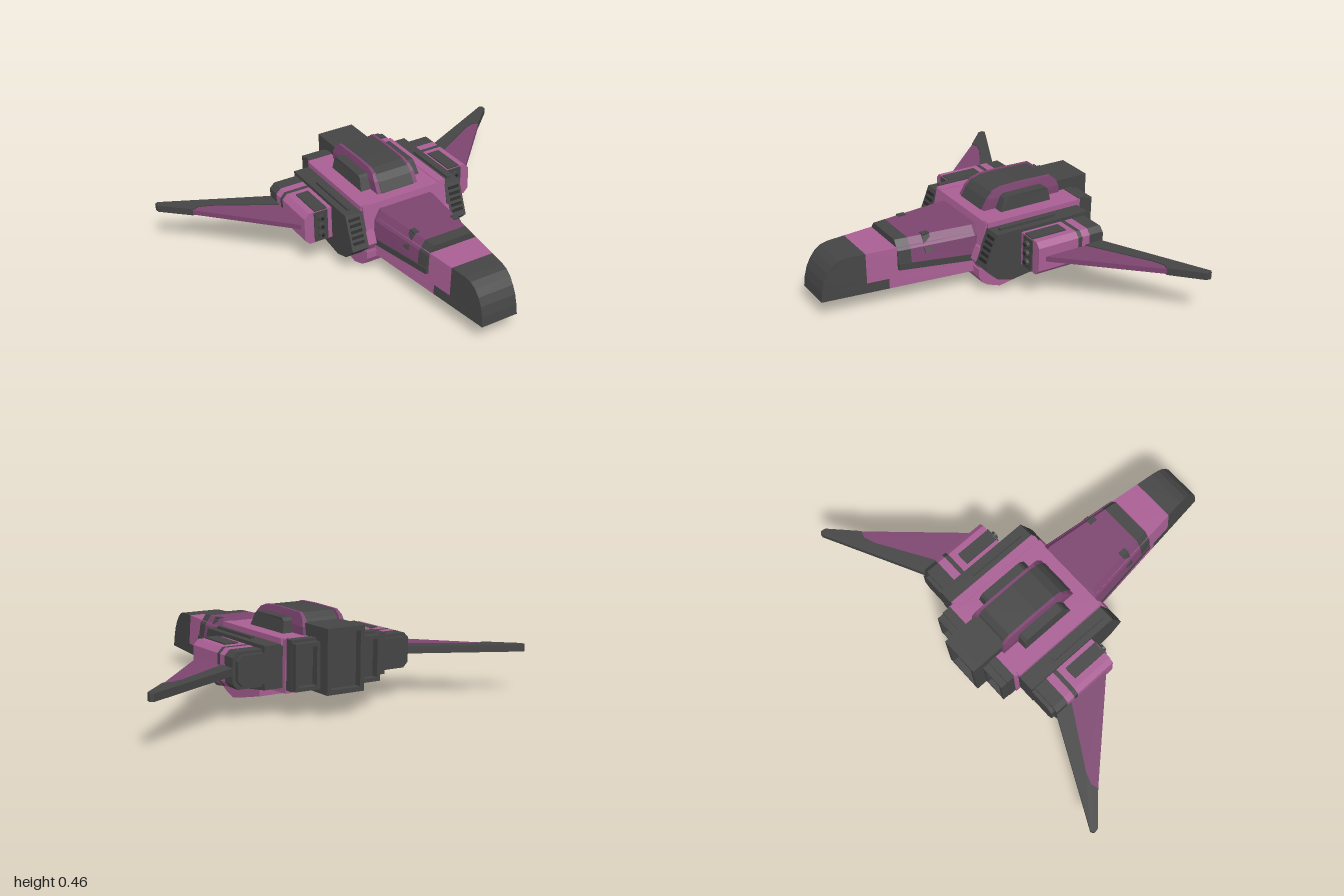
import * as THREE from 'three';

const mat = (name, color) => {
  const m = new THREE.MeshStandardMaterial({ color, flatShading: true });
  m.name = name;
  return m;
};

export function createModel() {
  const pink = mat('pink paint', 0xa85e93);
  const plum = mat('plum paint', 0x7c446f);
  const dark = mat('dark grey', 0x444444);
  const black = mat('vent black', 0x262626);
  const model = new THREE.Group();
  model.name = 'starfighter';

  const add = (name, geo, material) => {
    const m = new THREE.Mesh(geo, material);
    m.name = name;
    model.add(m);
  };

  // Mirror a geometry across x = 0, keeping faces outward
  const mirror = (geo) => {
    const g = geo.index ? geo.toNonIndexed() : geo.clone();
    g.scale(-1, 1, 1);
    const p = g.attributes.position;
    const a = new THREE.Vector3(), b = new THREE.Vector3();
    for (let i = 0; i < p.count; i += 3) {
      a.fromBufferAttribute(p, i + 1);
      b.fromBufferAttribute(p, i + 2);
      p.setXYZ(i + 1, b.x, b.y, b.z);
      p.setXYZ(i + 2, a.x, a.y, a.z);
    }
    g.computeVertexNormals();
    return g;
  };
  const pair = (name, geo, material) => {
    add(name + 'Left', geo, material);
    add(name + 'Right', mirror(geo), material);
  };

  // Box from its limits
  const box = (x0, x1, y0, y1, z0, z1) =>
    new THREE.BoxGeometry(x1 - x0, y1 - y0, z1 - z0)
      .translate((x0 + x1) / 2, (y0 + y1) / 2, (z0 + z1) / 2);
  const shape = (pts) => new THREE.Shape(pts.map(([a, b]) => new THREE.Vector2(a, b)));
  const extrude = (s, depth) => new THREE.ExtrudeGeometry(s, { depth, bevelEnabled: false });
  // Side profile of (z, y) points, running from x0 to x1
  const slab = (pts, x0, x1) =>
    extrude(shape(pts), x1 - x0).rotateY(-Math.PI / 2).translate(x1, 0, 0);
  // Front profile of (x, y) points, running from z0 to z1
  const prism = (pts, z0, z1) => extrude(shape(pts), z1 - z0).translate(0, 0, z0);
  // Plan outline of (x, z) points, running from y0 to y1
  const plate = (pts, y0, y1) =>
    extrude(shape(pts.map(([x, z]) => [x, -z])), y1 - y0).rotateX(-Math.PI / 2).translate(0, y0, 0);
  // Move the vertices of a geometry by a rule
  const warp = (geo, rule) => {
    const p = geo.attributes.position;
    for (let i = 0; i < p.count; i++) {
      p.setXYZ(i, ...rule(p.getX(i), p.getY(i), p.getZ(i)));
    }
    geo.computeVertexNormals();
    return geo;
  };

  // Closed skin over cross-sections ordered from back to front
  const loft = (rings) => {
    const pos = [];
    const n = rings[0].length;
    for (let r = 0; r < rings.length - 1; r++) {
      for (let i = 0; i < n; i++) {
        const j = (i + 1) % n;
        const a = rings[r][i], b = rings[r][j], c = rings[r + 1][j], d = rings[r + 1][i];
        pos.push(...a, ...b, ...c, ...a, ...c, ...d);
      }
    }
    const first = rings[0], last = rings[rings.length - 1];
    for (let i = 1; i < n - 1; i++) {
      pos.push(...first[0], ...first[i + 1], ...first[i]);
      pos.push(...last[0], ...last[i], ...last[i + 1]);
    }
    const g = new THREE.BufferGeometry();
    g.setAttribute('position', new THREE.Float32BufferAttribute(pos, 3));
    g.computeVertexNormals();
    return g;
  };

  // Nose: side profiles narrowed towards the tip and the top
  const noseTaper = (x, y, z) => [x * (0.182 - 0.088 * (z / 0.77)) * (1.04 - 0.45 * (y - 0.09)), y, z];
  const nose = (name, pts, m) => add(name, warp(slab(pts, -1, 1), noseTaper), m);
  nose('noseBodyUpper', [[0, 0.14], [0.55, 0.14], [0.55, 0.29], [0, 0.29]], pink);
  nose('noseBodyLower', [[0, 0.09], [0.44, 0.09], [0.44, 0.14], [0, 0.14]], pink);
  nose('noseTipLower', [[0.44, 0.09], [0.775, 0.09], [0.77, 0.14], [0.44, 0.14]], dark);
  nose('noseTipUpper', [[0.55, 0.14], [0.77, 0.14], [0.758, 0.19], [0.738, 0.23], [0.712, 0.263],
    [0.68, 0.283], [0.64, 0.29], [0.55, 0.29]], dark);

  // Hood over the nose, with dark front band and lower trim
  const hoodRing = (z, w, y0) => [[-w, y0, z], [w, y0, z], [w - 0.012, 0.275, z],
    [w - 0.045, 0.322, z], [0.045 - w, 0.322, z], [0.012 - w, 0.275, z]];
  add('hood', loft([hoodRing(-0.12, 0.17, 0.2), hoodRing(0, 0.195, 0.18), hoodRing(0.33, 0.157, 0.205)]), plum);
  add('hoodFrontBand', loft([hoodRing(0.33, 0.158, 0.18), hoodRing(0.395, 0.15, 0.185)]), dark);
  const trimRing = (z, w, y0, y1) => [[-w, y0, z], [w, y0, z], [w, y1, z], [-w, y1, z]];
  add('hoodTrim', loft([trimRing(-0.02, 0.195, 0.15, 0.185), trimRing(0.0, 0.198, 0.152, 0.185),
    trimRing(0.395, 0.152, 0.18, 0.212)]), dark);
  pair('hoodPatchTop', box(0.1, 0.128, 0.317, 0.326, 0.22, 0.26), dark);
  pair('hoodPatchSide', warp(box(0.15, 0.159, 0.245, 0.315, 0.22, 0.26),
    (x, y, z) => [x + (y > 0.3 ? -0.028 : 0.008), y, z]), dark);

  // Central hull and belly
  add('hull', slab([[0, 0.1], [0.005, 0.18], [-0.03, 0.355], [-0.575, 0.355], [-0.575, 0.11], [-0.36, 0.1]],
    -0.235, 0.235), pink);
  add('belly', slab([[0.01, 0.12], [0.01, 0.08], [-0.01, 0.045], [-0.04, 0.025], [-0.11, 0], [-0.17, 0.01],
    [-0.36, 0.055], [-0.36, 0.12]], -0.24, 0.24), pink);

  // Rear exhaust blocks with recessed faces
  const exhaust = (name, x0, x1, y0, y1, z0, z1, rim) => {
    const s = shape([[x0, y0], [x1, y0], [x1, y1], [x0, y1]]);
    s.holes.push(new THREE.Path([[x0 + rim, y0 + rim], [x0 + rim, y1 - rim], [x1 - rim, y1 - rim],
      [x1 - rim, y0 + rim]].map(([a, b]) => new THREE.Vector2(a, b))));
    add(name + 'Rim', extrude(s, 0.035).translate(0, 0, z0), dark);
    add(name, box(x0, x1, y0, y1, z0 + 0.035, z1), dark);
  };
  exhaust('centreExhaust', -0.1, 0.1, 0.11, 0.41, -0.705, -0.5, 0.022);
  exhaust('exhaustLeft', 0.1, 0.23, 0.13, 0.345, -0.65, -0.575, 0.018);
  exhaust('exhaustRight', -0.23, -0.1, 0.13, 0.345, -0.65, -0.575, 0.018);
  add('exhaustShoulder', box(-0.232, 0.232, 0.125, 0.358, -0.615, -0.57), dark);

  // Canopy: dark glass between plum side frames, with side bulges
  const canopy = [[-0.06, 0.3], [-0.09, 0.36], [-0.115, 0.405], [-0.145, 0.435], [-0.19, 0.45], [-0.3, 0.453],
    [-0.47, 0.449], [-0.5, 0.425], [-0.515, 0.39], [-0.525, 0.3]];
  add('canopyGlass', slab(canopy, -0.092, 0.092), dark);
  pair('canopyFrame', warp(slab(canopy, 0.088, 0.115), (x, y, z) =>
    [x > 0.1 ? x - Math.max(0, y - 0.4) * 0.25 : x, y + 0.004, z < -0.3 ? z - 0.012 : z - 0.006]), plum);
  pair('canopyBulge', warp(slab([[-0.15, 0.34], [-0.185, 0.415], [-0.2, 0.424], [-0.42, 0.424], [-0.435, 0.41],
    [-0.445, 0.34]], 0.1, 0.17), (x, y, z) => [x > 0.15 && y > 0.4 ? 0.158 : x, y, z]), dark);

  // Side engines with louvred intakes and top rails
  pair('engine', slab([[0.03, 0.16], [-0.035, 0.332], [-0.55, 0.332], [-0.55, 0.132], [-0.12, 0.072],
    [-0.04, 0.095], [0.005, 0.135]], 0.235, 0.33), dark);
  pair('intakeInner', slab([[0.03, 0.17], [0.005, 0.235], [-0.04, 0.235], [-0.04, 0.13], [0.005, 0.13]],
    0.195, 0.24), pink);
  for (let i = 0; i < 5; i++) {
    const t = 0.16 + i * 0.16;
    pair('intakeSlat' + i, new THREE.BoxGeometry(0.06, 0.014, 0.008).rotateX(-0.36)
      .translate(0.287, 0.332 - 0.172 * t, -0.035 + 0.065 * t), black);
  }
  pair('topRail', box(0.28, 0.298, 0.33, 0.345, -0.38, -0.07), dark);
  pair('hullEdge', box(0.2, 0.245, 0.325, 0.358, -0.55, -0.035), pink);

  // Wing pods: chamfered prisms in coloured segments
  const podOutline = (k) => [[0.32, 0.145 + k], [0.455 - k, 0.145 + k], [0.48 - k, 0.17 + k], [0.48 - k, 0.29 - k],
    [0.455 - k, 0.315 - k], [0.32, 0.315 - k]];
  [['podFront', -0.395, -0.17, 0, pink], ['podBand', -0.417, -0.395, 0, dark], ['podMiddle', -0.46, -0.417, 0, pink],
    ['podRear', -0.53, -0.46, 0, dark], ['podCap', -0.55, -0.53, 0.015, dark]]
    .forEach(([name, z0, z1, k, m]) => pair(name, prism(podOutline(k), z0, z1), m));
  pair('podTopPanel', box(0.355, 0.422, 0.312, 0.321, -0.36, -0.172), dark);
  pair('gunPlate', box(0.355, 0.428, 0.15, 0.312, -0.172, -0.164), dark);
  [0.185, 0.232, 0.279].forEach((y, i) => {
    pair('gunBarrel' + i, new THREE.CylinderGeometry(0.019, 0.019, 0.04, 10).rotateX(Math.PI / 2)
      .translate(0.392, y, -0.168), dark);
    pair('gunBore' + i, new THREE.CylinderGeometry(0.009, 0.009, 0.004, 8).rotateX(Math.PI / 2)
      .translate(0.392, y, -0.148), black);
  });

  // Swept wings: plum leading panel, dark trailing edge and tip
  pair('wingPanel', plate([[0.47, -0.2], [0.865, -0.62], [0.83, -0.632], [0.77, -0.61], [0.47, -0.43]],
    0.215, 0.24), plum);
  pair('wingEdge', plate([[0.47, -0.43], [0.77, -0.61], [0.83, -0.632], [0.865, -0.62], [0.997, -0.745],
    [1, -0.77], [0.985, -0.78], [0.47, -0.525]], 0.21, 0.245), dark);

  return model;
}
